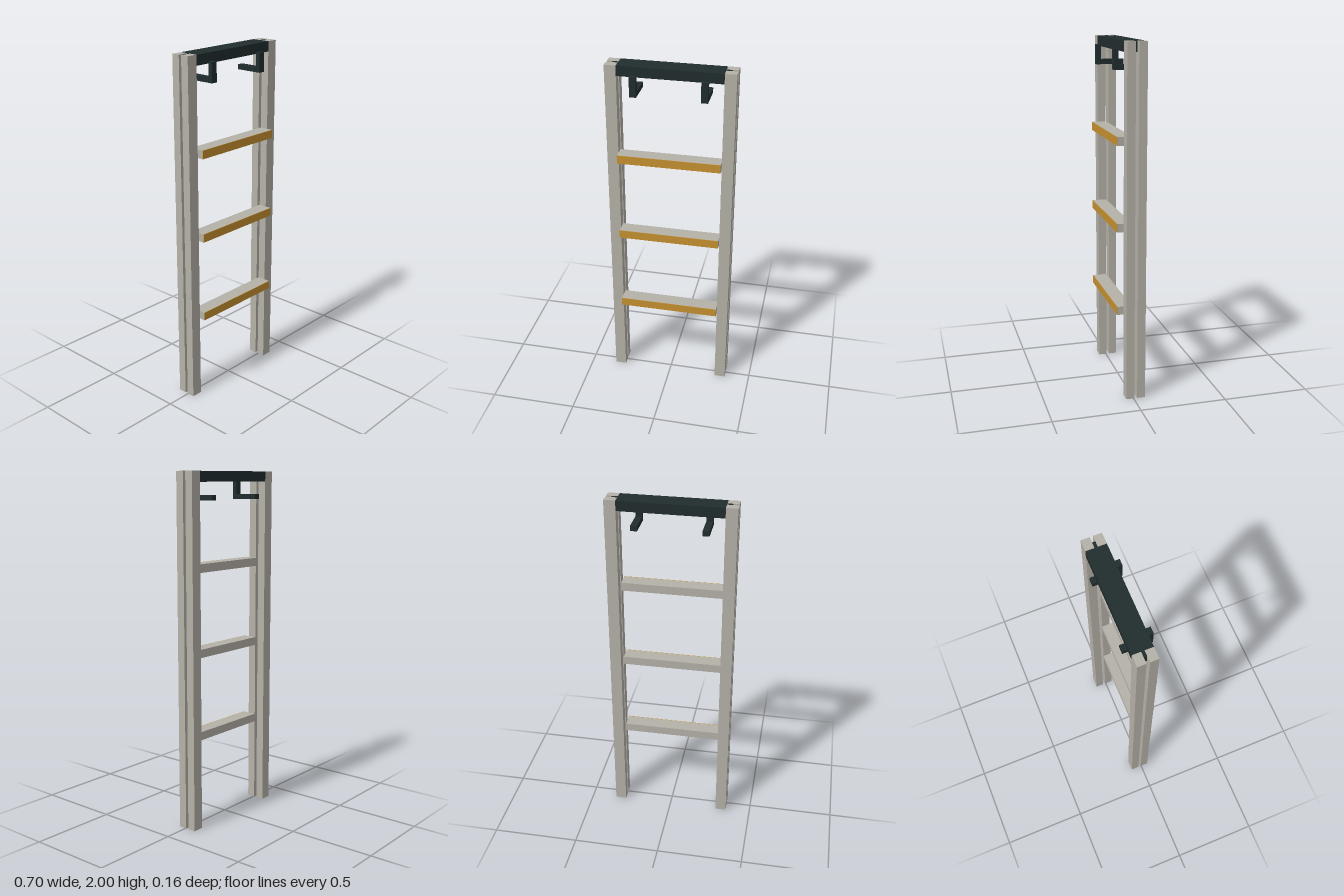
import * as THREE from 'three';

export function createModel() {
  const model = new THREE.Group();
  model.name = 'ladder';

  const material = (name, color) => {
    const m = new THREE.MeshStandardMaterial({ color });
    m.name = name;
    return m;
  };
  const metal = material('warm grey metal', 0xb5b1a8);
  const ochre = material('ochre grip', 0xc59030);
  const dark = material('dark steel', 0x212d2e);

  // Box given by its extents on each axis
  const box = (name, mat, [x0, x1], [y0, y1], [z0, z1], parent = model) => {
    const mesh = new THREE.Mesh(new THREE.BoxGeometry(x1 - x0, y1 - y0, z1 - z0), mat);
    mesh.position.set((x0 + x1) / 2, (y0 + y1) / 2, (z0 + z1) / 2);
    mesh.name = name;
    parent.add(mesh);
  };

  const inner = 0.288, outer = 0.352;
  const front = [-0.004, 0.043], back = [-0.068, -0.021];

  for (const s of [-1, 1]) {
    const side = s > 0 ? 'left' : 'right';
    const span = (a, b) => (s > 0 ? [a, b] : [-b, -a]);

    // Twin posts with a narrow slot between them
    box(side + 'FrontPost', metal, span(inner, outer), [0, 2], front);
    box(side + 'BackPost', metal, span(inner, outer), [0, 2], back);

    // Tongue of the top bar held in the slot
    box(side + 'Tongue', dark, span(inner, 0.32), [1.943, 2], [back[1], front[0]]);

    // L-shaped hook: long arm with an upturned front end
    const hook = new THREE.Group();
    hook.name = side + 'Hook';
    model.add(hook);
    box('hookArm', dark, span(0.173, 0.21), [1.844, 1.872], [-0.083, 0.052], hook);
    box('hookTip', dark, span(0.173, 0.21), [1.844, 1.955], [0.052, 0.077], hook);
  }

  // Top bar
  box('topBar', dark, [-inner, inner], [1.943, 2], [back[0], front[1]]);

  // Rungs with a thin coloured front strip
  for (const y of [0.491, 0.971, 1.45]) {
    const rung = new THREE.Group();
    rung.name = 'rung';
    model.add(rung);
    box('rungBody', metal, [-inner, inner], [y, y + 0.048], [-0.004, 0.078], rung);
    box('rungStrip', ochre, [-inner, inner], [y, y + 0.048], [0.078, 0.081], rung);
  }

  return model;
}
